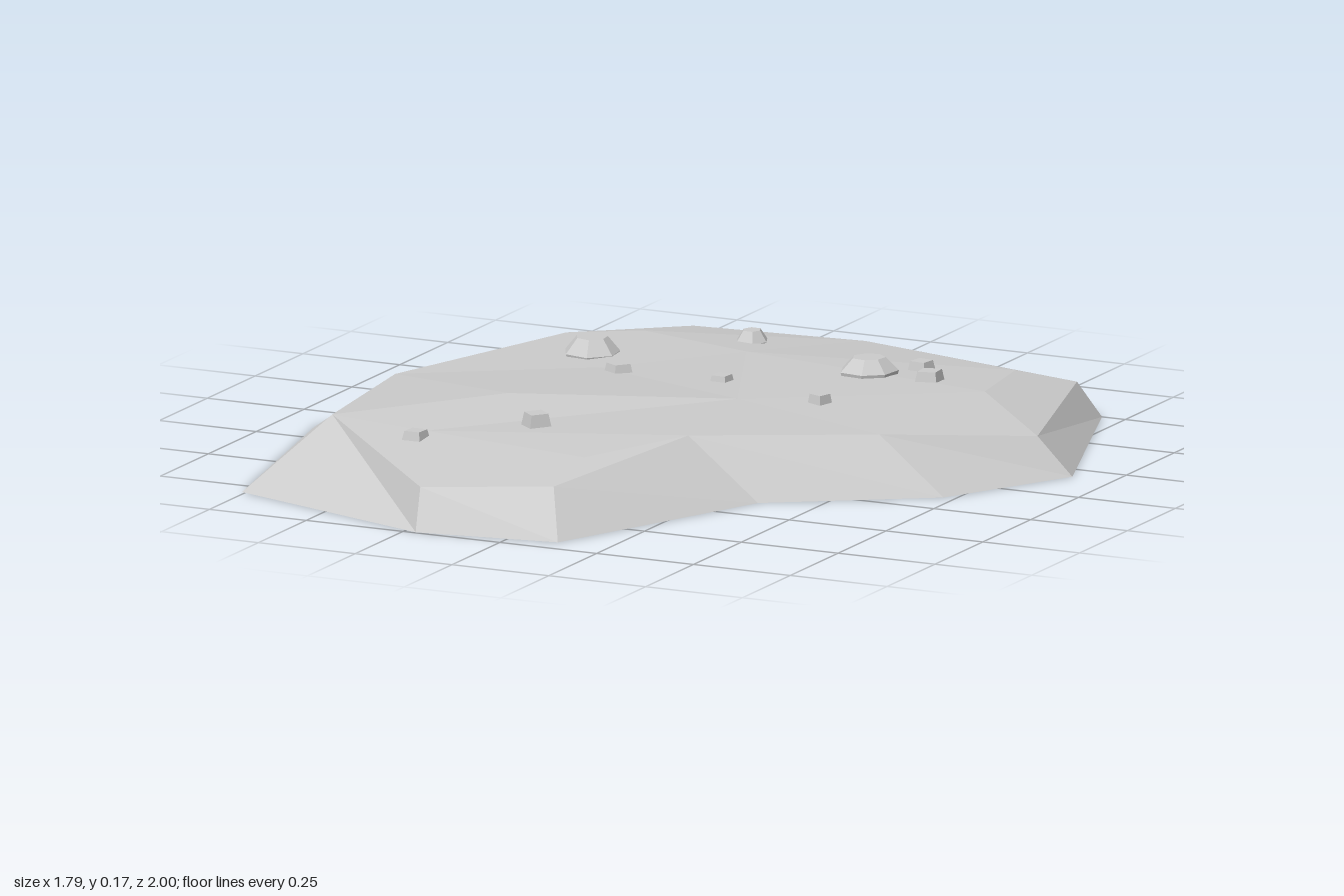
import * as THREE from 'three';

const material = new THREE.MeshStandardMaterial({ color: 0xcccccc, flatShading: true });

// Ground outline [x, z]
const base = [
  [0.07, -1], [0.69, -0.75], [0.895, -0.18], [0.72, 0.14], [0.36, 0.38], [0.12, 0.94],
  [-0.22, 0.995], [-0.76, 0.81], [-0.9, 0.15], [-0.64, -0.53], [-0.44, -0.88],
].map(([x, z]) => [x, 0, z]);

// Upper rim, one point above each ground corner [x, y, z]
const rim = [
  [0.02, 0.085, -0.87], [0.64, 0.085, -0.72], [0.81, 0.09, -0.17], [0.55, 0.13, 0.13],
  [0.18, 0.142, 0.38], [0.05, 0.1, 0.82], [-0.24, 0.092, 0.93], [-0.66, 0.138, 0.54],
  [-0.74, 0.122, 0.05], [-0.57, 0.122, -0.5], [-0.4, 0.088, -0.82],
];

// Bumps and hollows inside the rim
const inner = [
  [0.53, 0.122, -0.62], [0.59, 0.137, -0.34], [-0.1, 0.128, -0.49], [-0.4, 0.132, -0.56],
  [0.11, 0.137, -0.02], [-0.34, 0.165, 0.27], [-0.4, 0.135, 0.58], [0.03, 0.125, 0.62],
  [-0.32, 0.135, -0.17],
];

// Facets of the top: 0-10 are rim points, 11-19 inner points
const facets = [
  0, 1, 11, 0, 11, 13, 0, 13, 14, 0, 14, 10, 10, 14, 9, 1, 2, 12, 1, 12, 11, 2, 3, 12, 11, 12, 13,
  12, 15, 13, 12, 3, 15, 3, 4, 15, 15, 16, 17, 4, 15, 17, 4, 17, 18, 4, 5, 18, 5, 6, 18, 6, 17, 18,
  6, 7, 17, 7, 16, 17, 7, 8, 16, 8, 19, 16, 8, 9, 19, 9, 14, 19, 14, 13, 19, 13, 15, 19, 15, 16, 19,
];

function createMound() {
  const n = base.length;
  const top = [...rim, ...inner];
  const points = [];
  // Turn every top facet upwards
  for (let i = 0; i < facets.length; i += 3) {
    const [a, b, c] = [top[facets[i]], top[facets[i + 1]], top[facets[i + 2]]];
    const up = (b[2] - a[2]) * (c[0] - a[0]) - (b[0] - a[0]) * (c[2] - a[2]) > 0;
    points.push(a, ...(up ? [b, c] : [c, b]));
  }
  // Sloping sides
  for (let i = 0; i < n; i++) {
    const j = (i + 1) % n;
    points.push(base[i], rim[i], rim[j], base[i], rim[j], base[j]);
  }
  // Flat underside
  const outline = base.map(([x, , z]) => new THREE.Vector2(x, z));
  for (const [a, b, c] of THREE.ShapeUtils.triangulateShape(outline, [])) {
    points.push(base[a], base[b], base[c]);
  }
  const geometry = new THREE.BufferGeometry();
  geometry.setAttribute('position', new THREE.Float32BufferAttribute(points.flat(), 3));
  geometry.computeVertexNormals();
  return new THREE.Mesh(geometry, material);
}

// Tapered stone; the larger ones bulge at the middle and are uneven
function createStone(x, z, r, bottom, topY, sides, turn) {
  const h = topY - bottom;
  const big = sides > 5;
  const geometry = new THREE.CylinderGeometry(r * (big ? 0.55 : 0.72), r * (big ? 0.85 : 1), h, sides, big ? 2 : 1);
  const p = geometry.attributes.position;
  for (let i = 0; i < p.count; i++) {
    const level = p.getY(i) / h;
    const angle = Math.atan2(p.getX(i), p.getZ(i));
    const bulge = big && Math.abs(level) < 0.1 ? 1.4 : 1;
    const k = bulge * (1 + 0.07 * Math.sin(2 * angle + turn * 5));
    p.setXYZ(i, p.getX(i) * k, p.getY(i), p.getZ(i) * k);
  }
  geometry.computeVertexNormals();
  const stone = new THREE.Mesh(geometry, material);
  stone.position.set(x, (bottom + topY) / 2, z);
  stone.rotation.y = turn;
  return stone;
}

export function createModel() {
  const group = new THREE.Group();
  const mound = createMound();
  mound.name = 'mound';
  group.add(mound);

  // x, z, radius, bottom, top, sides, turn
  const stones = [
    [-0.41, -0.31, 0.072, 0.1, 0.17, 7, 0.3],
    [0.26, -0.4, 0.068, 0.11, 0.172, 7, 1.1],
    [-0.16, -0.64, 0.042, 0.09, 0.142, 6, 0.5],
    [-0.265, -0.16, 0.044, 0.11, 0.155, 5, 0.2],
    [-0.19, 0.425, 0.043, 0.12, 0.167, 4, 0.1],
    [0.345, -0.505, 0.037, 0.11, 0.15, 4, 0.65],
    [0.42, -0.395, 0.042, 0.11, 0.158, 4, 0.95],
    [-0.01, -0.18, 0.033, 0.11, 0.148, 4, 0.75],
    [0.295, -0.075, 0.035, 0.11, 0.157, 4, 0.45],
    [-0.4, 0.63, 0.037, 0.11, 0.147, 4, 0.75],
  ];
  stones.forEach((s, i) => {
    const stone = createStone(...s);
    stone.name = `stone${i + 1}`;
    group.add(stone);
  });
  return group;
}
